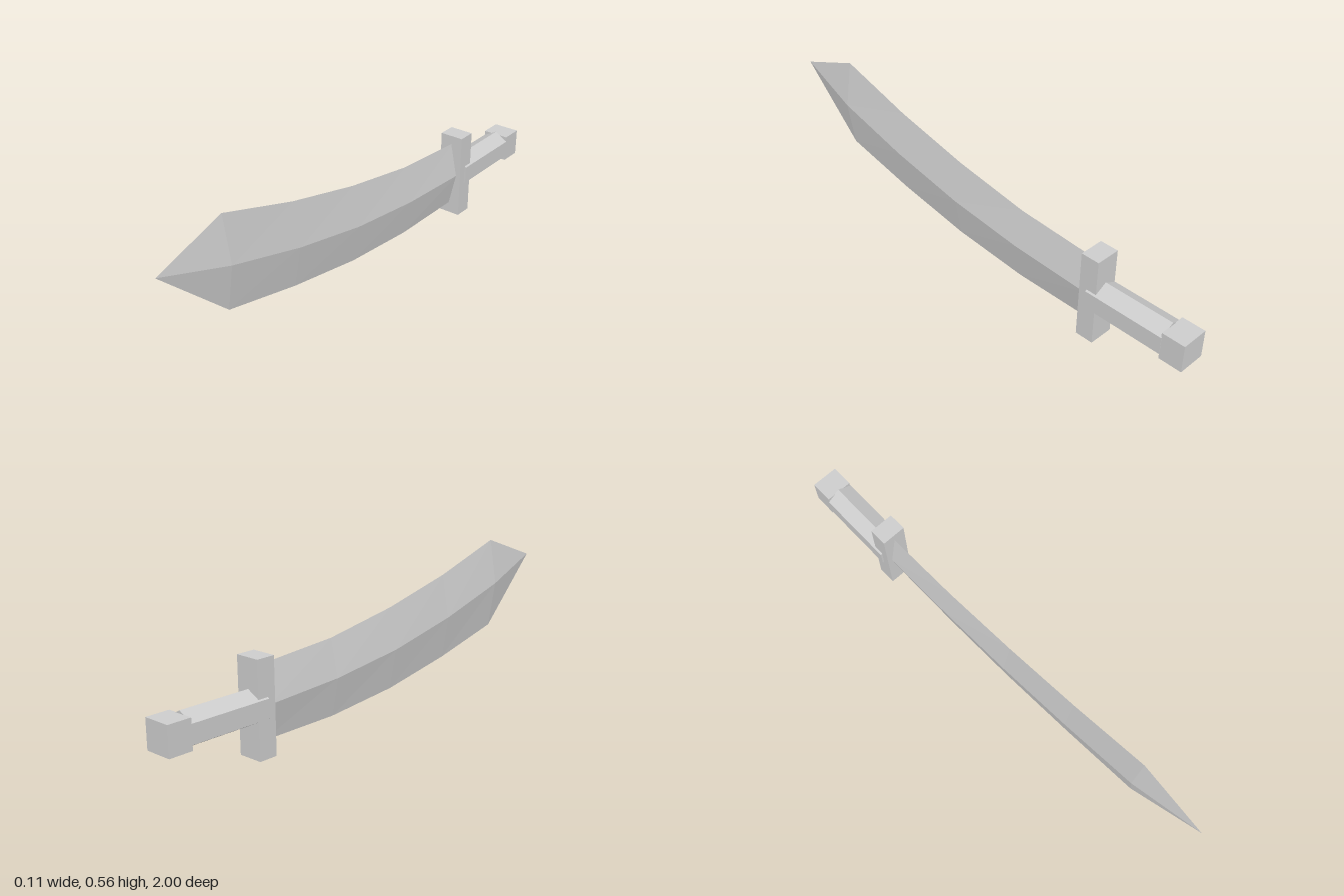
import * as THREE from 'three';

// Box given by its limits on each axis
function block(name, material, halfWidth, y0, y1, z0, z1) {
  const mesh = new THREE.Mesh(new THREE.BoxGeometry(halfWidth * 2, y1 - y0, z1 - z0), material);
  mesh.position.set(0, (y0 + y1) / 2, (z0 + z1) / 2);
  mesh.name = name;
  return mesh;
}

// Blade: diamond cross-sections [z, back edge y, ridge y, cutting edge y, half thickness]
function bladeGeometry() {
  const sections = [
    [-0.57, 0.315, 0.178, 0.045, 0.03],
    [-0.24, 0.337, 0.193, 0.045, 0.03],
    [0.08, 0.39, 0.23, 0.072, 0.03],
    [0.4, 0.465, 0.295, 0.127, 0.03],
    [0.72, 0.563, 0.383, 0.2, 0.03],
  ];
  const points = [];
  for (const [z, top, mid, bottom, w] of sections) {
    points.push(0, top, z, w, mid, z, 0, bottom, z, -w, mid, z);
  }
  const tip = sections.length * 4;
  points.push(0, 0.467, 1);

  const index = [0, 1, 2, 0, 2, 3];
  for (let i = 0; i < sections.length; i++) {
    for (let k = 0; k < 4; k++) {
      const a = i * 4 + k;
      const b = i * 4 + ((k + 1) % 4);
      if (i === sections.length - 1) index.push(a, tip, b);
      else index.push(a, b + 4, b, a, a + 4, b + 4);
    }
  }
  const geometry = new THREE.BufferGeometry();
  geometry.setAttribute('position', new THREE.Float32BufferAttribute(points, 3));
  geometry.setIndex(index);
  const flat = geometry.toNonIndexed();
  flat.computeVertexNormals();
  return flat;
}

// Grip: six-sided bar with a ridge above and below
function gripGeometry() {
  const outline = [[0, 0.115], [0.056, 0.143], [0.056, 0.212], [0, 0.243], [-0.056, 0.212], [-0.056, 0.143]];
  const shape = new THREE.Shape(outline.map(([x, y]) => new THREE.Vector2(x, y)));
  const geometry = new THREE.ExtrudeGeometry(shape, { depth: 0.32, bevelEnabled: false });
  geometry.translate(0, 0, -0.912);
  return geometry;
}

export function createModel() {
  const steel = new THREE.MeshStandardMaterial({ color: 0xcccccc, flatShading: true });
  steel.name = 'light grey steel';

  const model = new THREE.Group();
  model.name = 'curvedSword';

  const blade = new THREE.Mesh(bladeGeometry(), steel);
  blade.name = 'blade';
  const grip = new THREE.Mesh(gripGeometry(), steel);
  grip.name = 'grip';

  model.add(
    blade,
    grip,
    block('guard', steel, 0.049, 0, 0.352, -0.633, -0.56),
    block('pommel', steel, 0.054, 0.123, 0.232, -1, -0.91),
  );
  return model;
}
